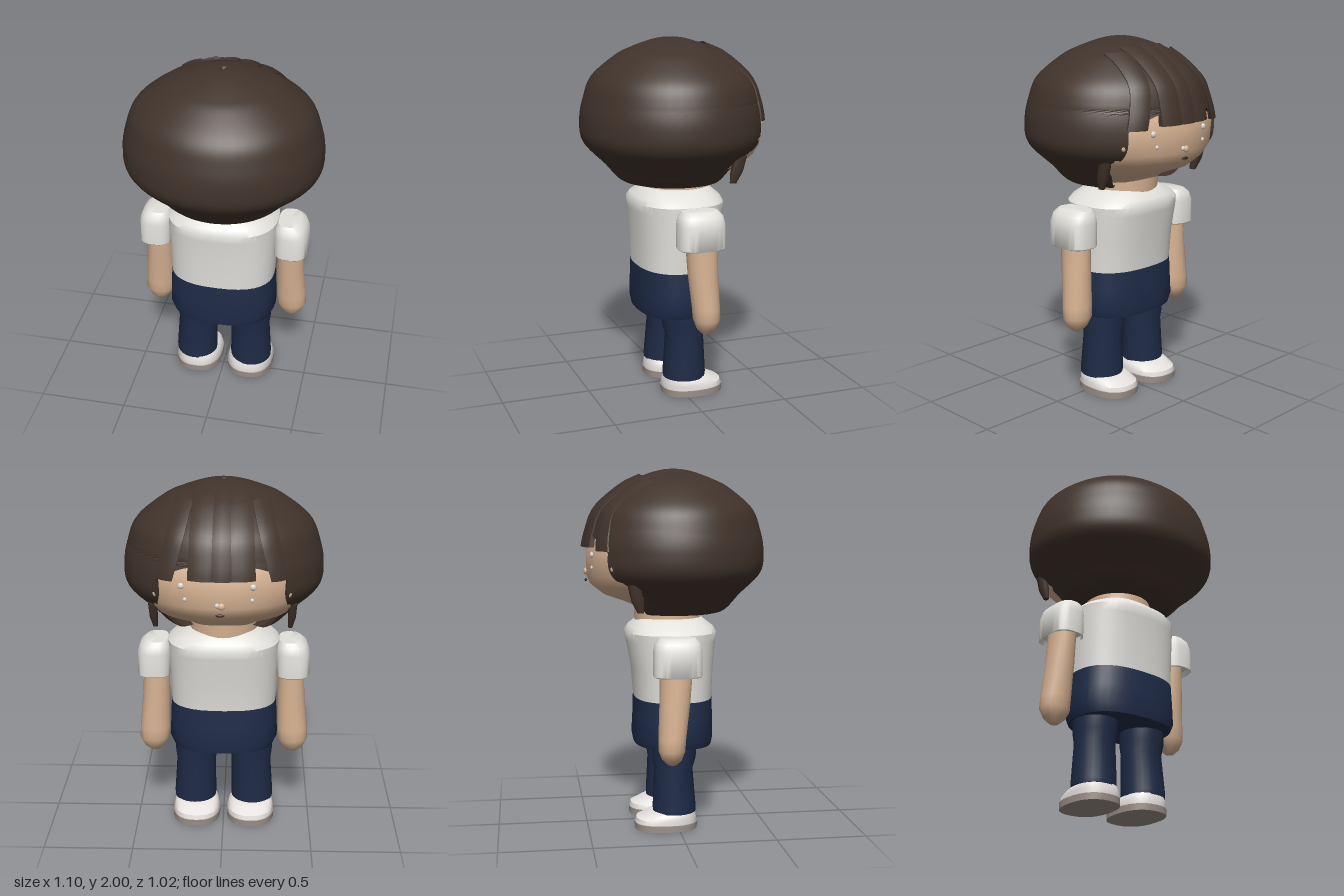
import * as THREE from 'three';
import { toCreasedNormals } from 'three/addons/utils/BufferGeometryUtils.js';

const mat = (name, color, side = THREE.FrontSide) => {
  const m = new THREE.MeshStandardMaterial({ color, side });
  m.name = name;
  return m;
};

// Skin a list of rings (arrays of Vector3); closed rings get end caps
function loft(rings, closed = true, crease = 0.75) {
  const n = rings[0].length, pos = [], idx = [];
  rings.forEach(r => r.forEach(p => pos.push(p.x, p.y, p.z)));
  for (let i = 0; i < rings.length - 1; i++) {
    for (let j = 0; j < (closed ? n : n - 1); j++) {
      const a = i * n + j, b = i * n + (j + 1) % n, c = a + n, d = b + n;
      idx.push(a, c, b, b, c, d);
    }
  }
  if (closed) {
    [0, rings.length - 1].forEach((k, top) => {
      const c = rings[k].reduce((s, p) => s.add(p), new THREE.Vector3()).divideScalar(n);
      const ci = pos.length / 3;
      pos.push(c.x, c.y, c.z);
      for (let j = 0; j < n; j++) {
        const a = k * n + j, b = k * n + (j + 1) % n;
        if (top) idx.push(ci, b, a); else idx.push(ci, a, b);
      }
    });
  }
  const g = new THREE.BufferGeometry();
  g.setAttribute('position', new THREE.Float32BufferAttribute(pos, 3));
  g.setIndex(idx);
  return toCreasedNormals(g, crease);
}

// Horizontal superellipse ring: [y, cx, cz, rx, rz]
function ring([y, cx, cz, rx, rz], e = 2, n = 28) {
  const bend = v => Math.sign(v) * Math.pow(Math.abs(v), 2 / e);
  return Array.from({ length: n }, (_, j) => {
    const a = j / n * Math.PI * 2;
    return new THREE.Vector3(cx + rx * bend(Math.cos(a)), y, cz + rz * bend(Math.sin(a)));
  });
}
const body = (rows, e, n) => loft(rows.map(r => ring(r, e, n)));

export function createModel() {
  const root = new THREE.Group();
  root.name = 'figure';
  const hair = mat('hairBrown', 0x41332b, THREE.DoubleSide);
  const skin = mat('skin', 0xd8b393);
  const shirt = mat('shirtWhite', 0xe2e1dc);
  const navy = mat('navy', 0x1f2c48);
  const shoe = mat('shoeWhite', 0xe6e2e0);
  const sole = mat('soleGrey', 0x9c9089);
  const shine = mat('shine', 0xd8d4ce);
  const dark = mat('mouthDark', 0x3a2622);
  const add = (name, geo, m) => {
    const mesh = new THREE.Mesh(geo, m);
    mesh.name = name;
    root.add(mesh);
    return mesh;
  };

  // Torso: shirt above, trousers hip below
  add('shirt', body([
    [0.72, 0, -0.008, 0.298, 0.217], [0.9, 0, -0.012, 0.305, 0.228], [1.05, 0, -0.02, 0.312, 0.25],
    [1.1, 0, -0.02, 0.312, 0.256], [1.13, 0, -0.02, 0.28, 0.238], [1.16, 0, -0.022, 0.225, 0.2], [1.178, 0, -0.022, 0.19, 0.178]
  ], 2.5, 36), shirt);
  add('hips', body([
    [0.465, 0, -0.01, 0.29, 0.218], [0.51, 0, -0.01, 0.31, 0.226], [0.62, 0, -0.008, 0.306, 0.222], [0.728, 0, -0.008, 0.3, 0.219]
  ], 2.5, 36), navy);
  add('neck', body([[1.1, 0, -0.03, 0.19, 0.185], [1.25, 0, -0.035, 0.19, 0.19]]), skin);

  // Limbs, mirrored
  for (const s of [-1, 1]) {
    const side = s > 0 ? 'left' : 'right';
    add(side + 'Leg', body([
      [0.095, s * 0.167, -0.018, 0.12, 0.12], [0.12, s * 0.167, -0.018, 0.122, 0.122], [0.34, s * 0.16, -0.022, 0.114, 0.108],
      [0.4, s * 0.16, -0.018, 0.122, 0.122], [0.5, s * 0.16, -0.016, 0.125, 0.126]
    ]), navy);
    add(side + 'Sole', body([[0, s * 0.158, -0.065, 0.138, 0.175], [0.036, s * 0.158, -0.065, 0.138, 0.177]], 2.4), sole);
    add(side + 'Shoe', body([
      [0.036, s * 0.158, -0.065, 0.133, 0.172], [0.062, s * 0.158, -0.062, 0.132, 0.169],
      [0.083, s * 0.16, -0.04, 0.125, 0.142], [0.1, s * 0.162, -0.022, 0.112, 0.12]
    ], 2.4), shoe);
    add(side + 'Arm', body([
      [0.415, s * 0.4, -0.06, 0.025, 0.025], [0.445, s * 0.4, -0.062, 0.06, 0.055], [0.495, s * 0.398, -0.063, 0.086, 0.074],
      [0.56, s * 0.395, -0.06, 0.086, 0.076], [0.75, s * 0.385, -0.045, 0.078, 0.084], [0.95, s * 0.38, -0.035, 0.073, 0.09]
    ], 2, 16), skin);
    add(side + 'Sleeve', body([
      [0.925, s * 0.385, -0.03, 0.085, 0.115], [0.895, s * 0.39, -0.03, 0.093, 0.126], [0.9, s * 0.39, -0.03, 0.097, 0.131],
      [1.03, s * 0.388, -0.03, 0.097, 0.131], [1.075, s * 0.382, -0.03, 0.086, 0.122], [1.1, s * 0.375, -0.03, 0.062, 0.1]
    ], 2.8), shirt);
  }

  // Head
  const headZ = -0.035;
  add('head', body([
    [1.205, 0, headZ, 0.16, 0.16], [1.25, 0, headZ, 0.25, 0.2], [1.275, 0, headZ, 0.32, 0.26], [1.31, 0, headZ, 0.385, 0.36],
    [1.365, 0, headZ, 0.44, 0.43], [1.42, 0, headZ, 0.495, 0.456], [1.55, 0, headZ, 0.52, 0.455],
    [1.65, 0, headZ, 0.48, 0.425], [1.75, 0, headZ, 0.4, 0.35], [1.85, 0, headZ, 0.2, 0.2]
  ], 2, 36), skin);
  const bead = (name, x, y, r, m, sy = 1, sx = 1) => {
    const b = add(name, new THREE.SphereGeometry(r, 14, 10), m);
    b.position.set(x, y, headZ - 0.456 * Math.sqrt(1 - (x / 0.51) ** 2));
    b.scale.set(sx, sy, 0.7);
  };
  for (const [x, x2] of [[0.21, 0.19], [-0.162, -0.158]]) {
    bead('eyeShine', x, 1.535, 0.017, shine);
    bead('eyeShineSmall', x2, 1.465, 0.011, shine);
  }
  bead('nose', 0, 1.437, 0.019, skin);
  bead('noseShine', 0.022, 1.442, 0.013, shine);
  bead('mouth', 0.008, 1.388, 0.011, dark, 0.7, 2.2);
  for (const s of [-1, 1]) bead('earTip', s * 0.345, 1.47, 0.02, skin);

  // Hair shell: a round profile with an arched opening for the face
  const depth = 0.92;
  const profile = new THREE.SplineCurve([
    [0.17, 1.215], [0.3, 1.213], [0.405, 1.31], [0.53, 1.43], [0.548, 1.55], [0.525, 1.67], [0.475, 1.785],
    [0.34, 1.895], [0.25, 1.94], [0.12, 1.985], [0.025, 2], [0.008, 1.98]
  ].map(p => new THREE.Vector2(...p))).getPoints(66);
  const cols = 48;
  const shell = profile.map(({ x: R, y }) => {
    const arch = Math.sqrt(THREE.MathUtils.clamp((1.66 - y) / 0.1, 0, 1));
    const open = Math.min(0.88, Math.asin(Math.min(1, 0.34 / R))) * arch;
    return Array.from({ length: cols + 3 }, (_, k) => {
      const j = THREE.MathUtils.clamp(k - 1, 0, cols);
      const a = -Math.PI / 2 + open + (j / cols) * (Math.PI * 2 - 2 * open);
      const r = (k === 0 || k === cols + 2) && arch > 0 ? R * 0.92 : R;
      return new THREE.Vector3(r * Math.cos(a), y, r * depth * Math.sin(a));
    });
  });
  add('hairShell', loft(shell, false, 0.9), hair);

  // Fringe strands that follow the shell: x at root, x at tip, half widths, tip height
  const upper = profile.filter(p => p.y > 1.5);
  const radiusAt = y => {
    const i = Math.max(1, upper.findIndex(p => p.y >= y));
    const a = upper[i - 1], b = upper[i];
    return THREE.MathUtils.lerp(a.x, b.x, (y - a.y) / (b.y - a.y));
  };
  const heightAt = R => upper.find(p => p.y > 1.6 && p.x <= R).y;
  const strands = [
    [0, 0, 0.045, 0.056, 1.575], [0.1, 0.112, 0.058, 0.064, 1.575], [-0.1, -0.112, 0.058, 0.064, 1.575],
    [0.205, 0.302, 0.05, 0.046, 1.56], [-0.205, -0.302, 0.05, 0.046, 1.56]
  ];
  for (const [x0, x1, w0, w1, yTip] of strands) {
    const yRoot = heightAt(Math.hypot(x0, 0.215));
    const rings = [];
    for (let i = 0; i <= 12; i++) {
      const t = i / 12, y = THREE.MathUtils.lerp(yRoot, yTip, t);
      const x = THREE.MathUtils.lerp(x0, x1, t), w = THREE.MathUtils.lerp(w0, w1, t);
      const R = radiusAt(y);
      const at = (u, lift) => {
        const px = x + u * w;
        const z = -depth * Math.sqrt(Math.max(0.002, R * R - px * px));
        return new THREE.Vector3(px, y + lift * (1 - t), z - lift * t);
      };
      rings.push([at(1, -0.02), at(1, 0.008), at(0.6, 0.014), at(0, 0.017), at(-0.6, 0.014), at(-1, 0.008), at(-1, -0.02), at(0, -0.02)]);
    }
    add('fringeStrand', loft(rings, true, 0.6), hair);
  }

  // Side locks in front of the ears
  for (const s of [-1, 1]) {
    add('sideLock', body([
      [1.235, s * 0.365, -0.225, 0.012, 0.018], [1.3, s * 0.372, -0.242, 0.022, 0.034], [1.385, s * 0.375, -0.262, 0.025, 0.035]
    ], 3, 12), hair);
  }
  return root;
}
